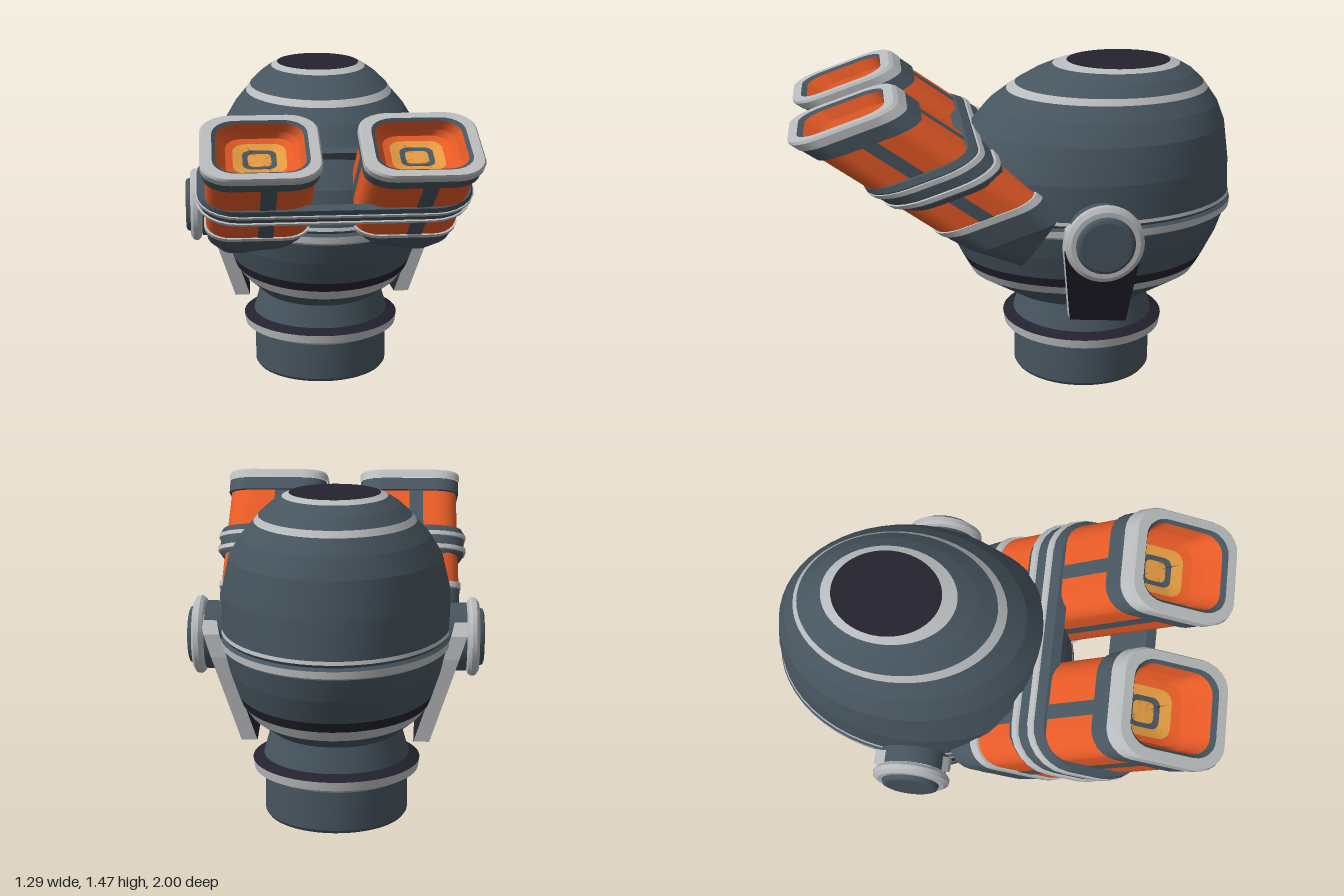
import * as THREE from 'three';

const mat = (name, color) => {
  const m = new THREE.MeshStandardMaterial({ color });
  m.name = name;
  return m;
};

// Skin between successive rings; each band keeps its own crisp edges.
// keep(i) optionally limits the skin to some segments of the ring.
function loft(rings, keep = () => true) {
  const pos = [], idx = [];
  for (let j = 0; j + 1 < rings.length; j++) {
    const base = pos.length / 3, n = rings[j].length;
    for (const p of [...rings[j], ...rings[j + 1]]) pos.push(...p);
    for (let i = 0; i < n; i++) {
      if (!keep(i)) continue;
      const a = base + i, b = base + (i + 1) % n, c = a + n, d = b + n;
      idx.push(a, c, b, b, c, d);
    }
  }
  const g = new THREE.BufferGeometry();
  g.setAttribute('position', new THREE.Float32BufferAttribute(pos, 3));
  g.setIndex(idx);
  g.computeVertexNormals();
  return g;
}

// Horizontal elliptical ring
function oval(y, cz, rx, rz, n = 56) {
  return Array.from({ length: n }, (_, i) => {
    const t = (i / n) * Math.PI * 2;
    return [rx * Math.cos(t), y, cz + rz * Math.sin(t)];
  });
}

// Rounded rectangular ring in a plane tilted about x. Every side carries one
// short segment (index 9k + 7) that is used for the trim bars.
const TILT = 0.337;
function roundRect(cx, z, y, hx, he, r, tilt = TILT) {
  const pts = [], w = 0.033, off = 0.03;
  const corners = [[1, 1], [-1, 1], [-1, -1], [1, -1]];
  corners.forEach(([sx, se], k) => {
    for (let i = 0; i < 7; i++) {
      const a = (k + i / 6) * Math.PI / 2;
      pts.push([sx * (hx - r) + r * Math.cos(a), se * (he - r) + r * Math.sin(a)]);
    }
    const o = k % 2 ? 0 : off;
    for (const v of [w, -w]) {
      if (k === 0) pts.push([v + o, he]);
      if (k === 1) pts.push([-hx, v + o]);
      if (k === 2) pts.push([-v - o, -he]);
      if (k === 3) pts.push([hx, -v - o]);
    }
  });
  return pts.map(([u, e]) => [cx + u, y - e * Math.sin(tilt), z + e * Math.cos(tilt)]);
}

// Ring at distance q behind the front opening of the eyepieces
const along = (cx, q, hx, he = hx, r = hx * 0.5) =>
  roundRect(cx, 0.78 - 0.816 * q, 1.35 - 0.577 * q, hx, he, r);

export function createModel() {
  const root = new THREE.Group();
  root.name = 'gogglesHead';
  const slate = mat('slate', 0x47555f), light = mat('lightGrey', 0xb8bbbd),
    navy = mat('darkNavy', 0x24222e), orange = mat('orange', 0xe65a26), amber = mat('amber', 0xe29a40);

  const add = (parent, name, geo, material) => {
    const m = new THREE.Mesh(geo, material);
    m.name = name;
    parent.add(m);
    return m;
  };
  const group = (name) => {
    const g = new THREE.Group();
    g.name = name;
    root.add(g);
    return g;
  };

  // Neck: hollow pipe, collar and tapered upper section
  const neck = group('neck');
  const pipe = (name, m, ...pts) =>
    add(neck, name, loft(pts.map(([y, r]) => oval(y, -0.32, r, r))), m);
  pipe('neckInnerCap', navy, [0.08, 0], [0.08, 0.25]);
  pipe('neckInnerRing', light, [0.08, 0.25], [0.06, 0.285]);
  pipe('neckPipe', slate, [0.06, 0.285], [0, 0.285], [0, 0.31], [0.015, 0.32], [0.19, 0.32]);
  pipe('collar', light, [0.19, 0.32], [0.215, 0.368], [0.255, 0.374]);
  pipe('collarTop', navy, [0.255, 0.374], [0.277, 0.325]);
  pipe('upperNeck', slate, [0.277, 0.325], [0.42, 0.285]);

  // Skull: [y, centre z, half width, half depth, band above]
  const skull = group('skull');
  const rows = [
    [0.39, -0.31, 0, 0, 'skullBase', slate],
    [0.395, -0.31, 0.29, 0.33, 'lowerSkull', slate],
    [0.49, -0.32, 0.385, 0.52, 'jawBand', light],
    [0.535, -0.32, 0.42, 0.545, 'jawStripe', navy],
    [0.58, -0.32, 0.437, 0.57, 'midSkull', slate],
    [0.69, -0.32, 0.473, 0.625, 'midSkull', slate],
    [0.79, -0.32, 0.495, 0.66, 'lowerRing', light],
    [0.8, -0.325, 0.505, 0.673, 'lowerRing', light],
    [0.83, -0.325, 0.507, 0.675, 'groove', slate],
    [0.842, -0.325, 0.495, 0.66, 'groove', slate],
    [0.855, -0.325, 0.503, 0.67, 'upperRing', light],
    [0.87, -0.325, 0.5, 0.665, 'upperSkull', slate],
    [1.03, -0.337, 0.498, 0.645, 'upperSkull', slate],
    [1.19, -0.38, 0.46, 0.58, 'upperSkull', slate],
    [1.28, -0.4, 0.405, 0.525, 'upperSkull', slate],
    [1.345, -0.42, 0.348, 0.46, 'crownRing', light],
    [1.372, -0.43, 0.328, 0.43, 'crown', slate],
    [1.42, -0.448, 0.277, 0.362, 'crown', slate],
    [1.455, -0.46, 0.225, 0.29, 'topRing', light],
    [1.47, -0.47, 0.195, 0.235, 'topCap', navy],
    [1.47, -0.47, 0, 0],
  ];
  for (let i = 0; i + 1 < rows.length; i++) {
    const [a, b] = [rows[i], rows[i + 1]].map((r) => oval(...r.slice(0, 4)));
    add(skull, rows[i][4], loft([a, b]), rows[i][5]);
  }

  // Hinge discs and slanted side arms
  for (const s of [1, -1]) {
    const hinge = group(s > 0 ? 'leftHinge' : 'rightHinge');
    const disc = (name, m, ...pts) => {
      const d = add(hinge, name, loft(pts.map(([x, r]) => oval(x, 0, r, r, 40))), m);
      d.rotation.z = -s * Math.PI / 2;
      d.position.set(0, 0.81, -0.32);
    };
    disc('hingeBase', slate, [0.45, 0.15], [0.57, 0.15]);
    disc('hingeRim', light, [0.57, 0.14], [0.578, 0.162], [0.592, 0.173], [0.612, 0.17], [0.625, 0.15], [0.625, 0.125]);
    disc('hingeCap', slate, [0.622, 0.13], [0.642, 0.122], [0.647, 0.11], [0.647, 0]);

    const outline = [[-0.2, 0.385], [-0.455, 0.365], [-0.495, 0.75], [-0.49, 0.85],
      [-0.42, 0.92], [-0.23, 0.92], [-0.16, 0.85], [-0.155, 0.75]];
    const shape = new THREE.Shape(outline.map(([z, y]) => new THREE.Vector2(-z, y)));
    const geo = new THREE.ExtrudeGeometry(shape, { depth: 0.07, bevelEnabled: false });
    geo.translate(0, 0, -0.035).rotateY(Math.PI / 2);
    const p = geo.attributes.position;
    for (let i = 0; i < p.count; i++)
      p.setX(i, p.getX(i) + s * (0.533 + 0.32 * (p.getY(i) - 0.85)));
    geo.computeVertexNormals();
    add(hinge, 'sideArm', geo, [navy, light]);
  }

  // Eyepieces: two slanted rounded-square tubes
  for (const s of [1, -1]) {
    const eye = group(s > 0 ? 'leftEyepiece' : 'rightEyepiece');
    const cx = s * 0.325;
    const tube = (name, m, ...pts) =>
      add(eye, name, loft(pts.map(([q, h]) => along(cx, q, h))), m);

    add(eye, 'rearHousing', loft([
      roundRect(cx, -0.06, 0.795, 0, 0, 0, 0.95),
      roundRect(cx, -0.06, 0.795, 0.19, 0.155, 0.08, 0.95),
      along(cx, 0.9, 0.222), along(cx, 0.775, 0.23),
    ]), slate);
    tube('rearRing', light, [0.775, 0.23], [0.77, 0.235], [0.735, 0.235], [0.735, 0.226]);
    tube('barrel', orange, [0.735, 0.226], [0.14, 0.226]);
    const bars = loft([along(cx, 0.735, 0.23), along(cx, 0.14, 0.23)], (i) => i % 9 === 7);
    add(eye, 'barrelBars', bars, slate);
    tube('frontSleeve', slate, [0.145, 0.226], [0.14, 0.238], [0.06, 0.24]);
    tube('frontRim', light, [0.06, 0.244], [0.015, 0.244], [0, 0.236], [0, 0.195]);
    tube('rimLining', slate, [0, 0.195], [0.015, 0.18]);
    tube('funnel', orange, [0.015, 0.18], [0.08, 0.162], [0.12, 0.14], [0.135, 0.11]);
    tube('lens', amber, [0.135, 0.11], [0.15, 0.07]);
    tube('lensRing', slate, [0.15, 0.07], [0.155, 0.048]);
    tube('lensCentre', amber, [0.155, 0.048], [0.155, 0]);
  }

  // Strap that wraps and joins both eyepieces
  const strap = group('bridgeStrap');
  const hoop = (name, m, ...pts) =>
    add(strap, name, loft(pts.map(([q, g]) => along(0, q, 0.575 + g, 0.24 + g, 0.17 + g))), m);
  hoop('strapBody', slate, [0.57, -0.045], [0.57, -0.01], [0.54, 0.006], [0.41, 0.012],
    [0.38, 0], [0.38, -0.045], [0.57, -0.045]);
  hoop('strapRearBand', light, [0.535, 0.004], [0.53, 0.016], [0.505, 0.017], [0.5, 0.004]);
  hoop('strapFrontBand', light, [0.45, 0.006], [0.445, 0.018], [0.42, 0.018], [0.415, 0.006]);

  return root;
}
